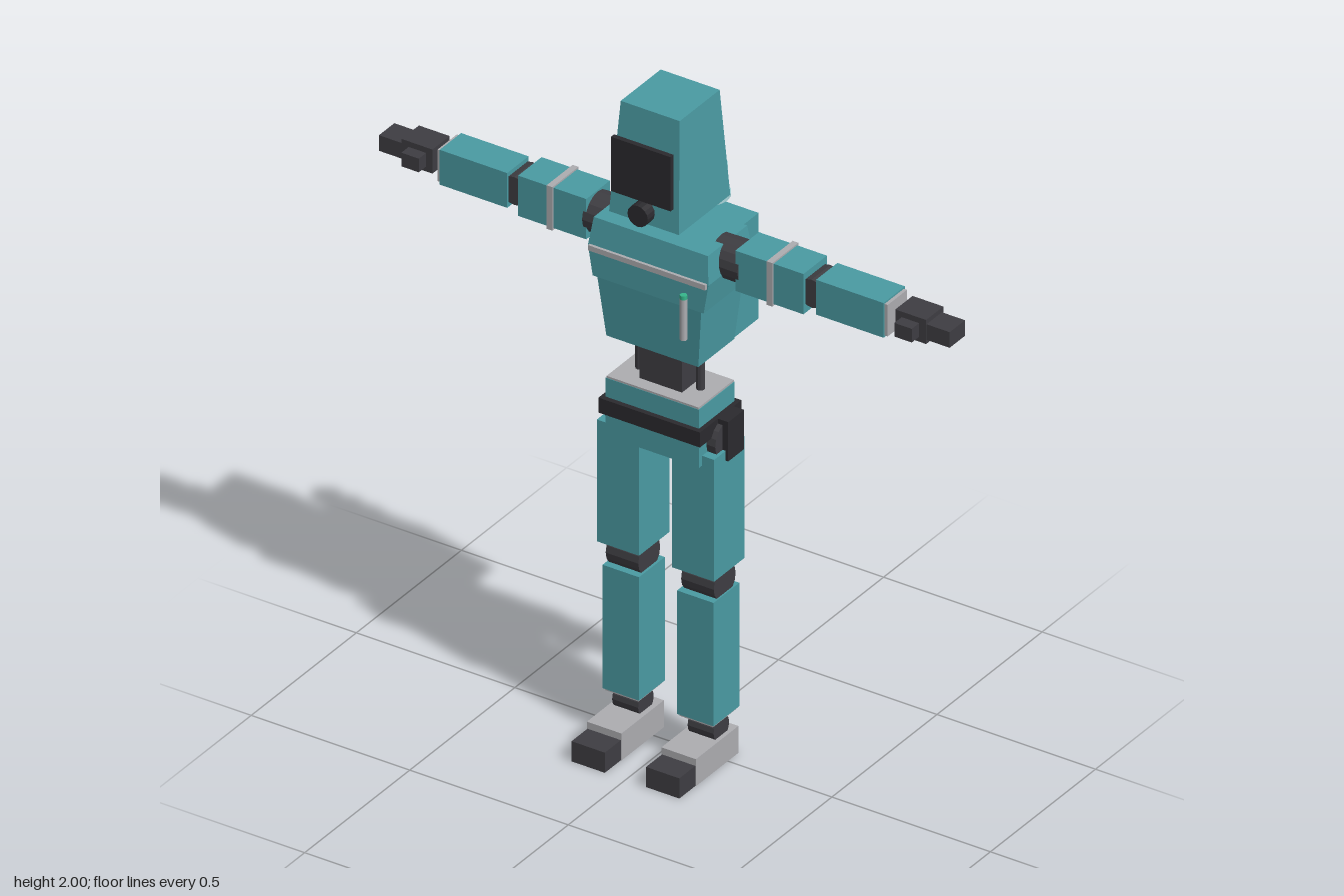
import * as THREE from 'three';

const mat = (color) => new THREE.MeshStandardMaterial({ color, flatShading: true });
const teal = mat(0x4a9aa2);
const dark = mat(0x3e3d42);
const black = mat(0x2b2a2e);
const grey = mat(0xacacb0);
const aqua = mat(0xa8d4d8);
const green = mat(0x35b58a);

export function createModel() {
  const root = new THREE.Group();
  root.name = 'robot';

  const add = (parent, name, geometry, material) => {
    const mesh = new THREE.Mesh(geometry, material);
    mesh.name = name;
    parent.add(mesh);
    return mesh;
  };

  // Box given by its limits on each axis
  const block = (parent, name, m, [x0, x1], [y0, y1], [z0, z1]) => {
    const g = new THREE.BoxGeometry(x1 - x0, y1 - y0, z1 - z0);
    g.translate((x0 + x1) / 2, (y0 + y1) / 2, (z0 + z1) / 2);
    return add(parent, name, g, m);
  };

  // Box tapered between two rectangles, each [y, half width, zBack, zFront]
  const taper = (parent, name, m, low, high) => {
    const g = new THREE.BoxGeometry(1, 1, 1);
    const p = g.attributes.position;
    for (let i = 0; i < p.count; i++) {
      const [y, w, zb, zf] = p.getY(i) > 0 ? high : low;
      p.setXYZ(i, p.getX(i) > 0 ? w : -w, y, p.getZ(i) > 0 ? zf : zb);
    }
    g.computeVertexNormals();
    return add(parent, name, g, m);
  };

  // Cylinder centred at a point, lying along the given axis
  const rod = (parent, name, m, axis, r, length, [x, y, z], sides = 16) => {
    const g = new THREE.CylinderGeometry(r, r, length, sides);
    if (axis === 'x') g.rotateZ(Math.PI / 2);
    if (axis === 'z') g.rotateX(Math.PI / 2);
    g.translate(x, y, z);
    return add(parent, name, g, m);
  };

  const part = (name) => {
    const g = new THREE.Group();
    g.name = name;
    root.add(g);
    return g;
  };

  // Head with face screen and round mouthpiece
  const head = part('head');
  taper(head, 'skull', teal, [1.67, 0.11, -0.105, 0.14], [2, 0.093, -0.08, 0.11]);
  block(head, 'visor', black, [-0.094, 0.094], [1.745, 1.912], [0.14, 0.155]);
  rod(head, 'mouthpiece', black, 'z', 0.032, 0.04, [0, 1.706, 0.15]);
  rod(head, 'neck', dark, 'y', 0.038, 0.08, [0, 1.635, 0.01]);

  // Chest, in three tapering tiers
  const torso = part('torso');
  taper(torso, 'upperChest', teal, [1.53, 0.19, -0.09, 0.12], [1.612, 0.18, -0.08, 0.107]);
  taper(torso, 'lowerChest', teal, [1.44, 0.175, -0.085, 0.12], [1.53, 0.19, -0.09, 0.12]);
  taper(torso, 'abdomen', teal, [1.255, 0.145, -0.072, 0.1], [1.44, 0.164, -0.083, 0.115]);
  block(torso, 'chestStripe', grey, [-0.185, 0.185], [1.518, 1.534], [0.115, 0.128]);
  block(torso, 'abdomenPlate', teal, [-0.12, 0.12], [1.235, 1.256], [-0.03, 0.06]);
  block(torso, 'spine', dark, [-0.067, 0.067], [1.12, 1.26], [-0.03, 0.06]);

  // Pen held in front of the chest
  rod(torso, 'pen', grey, 'y', 0.01, 0.125, [0.148, 1.4425, 0.175], 12);
  rod(torso, 'penTip', green, 'y', 0.01, 0.012, [0.148, 1.511, 0.175], 12);

  // Hips and belt
  const hips = part('hips');
  block(hips, 'hipBlock', teal, [-0.147, 0.147], [0.945, 1.124], [-0.07, 0.1]);
  block(hips, 'hipTop', grey, [-0.145, 0.145], [1.124, 1.13], [-0.069, 0.099]);
  block(hips, 'belt', black, [-0.16, 0.16], [1.02, 1.066], [-0.082, 0.115]);
  block(hips, 'holster', black, [0.155, 0.193], [0.945, 1.066], [-0.045, 0.03]);

  // Backpack and antenna with stacked discs
  const backpack = part('backpack');
  block(backpack, 'packBody', teal, [-0.123, 0.123], [1.235, 1.56], [-0.22, -0.095]);
  rod(backpack, 'antennaPole', black, 'y', 0.01, 0.28, [0, 1.69, -0.165], 12);
  [[1.61, 0.061], [1.694, 0.053], [1.777, 0.041]].forEach(([y, r]) =>
    rod(backpack, 'antennaDisc', aqua, 'y', r, 0.011, [0, y, -0.165], 16));

  // Limbs are written for the +x side and mirrored by the sign s
  for (const s of [1, -1]) {
    const side = s > 0 ? 'left' : 'right';
    const span = (a, b) => (s > 0 ? [a, b] : [-b, -a]);

    const arm = part(side + 'Arm');
    rod(arm, 'shoulder', dark, 'x', 0.06, 0.09, [s * 0.2, 1.56, 0.005]);
    block(arm, 'upperArm', teal, span(0.235, 0.45), [1.5, 1.624], [-0.052, 0.06]);
    block(arm, 'armBand', grey, span(0.338, 0.356), [1.495, 1.629], [-0.058, 0.066]);
    rod(arm, 'elbow', dark, 'z', 0.043, 0.09, [s * 0.469, 1.565, 0.005]);
    block(arm, 'forearm', teal, span(0.487, 0.7), [1.51, 1.617], [-0.046, 0.056]);
    block(arm, 'cuff', grey, span(0.7, 0.71), [1.515, 1.612], [-0.041, 0.051]);
    block(arm, 'palm', dark, span(0.73, 0.827), [1.528, 1.602], [-0.037, 0.045]);
    block(arm, 'fingers', dark, span(0.827, 0.9), [1.54, 1.588], [-0.03, 0.043]);
    block(arm, 'thumb', dark, span(0.75, 0.805), [1.543, 1.585], [0.045, 0.08]);

    rod(torso, side + 'WaistPiston', dark, 'y', 0.012, 0.13, [s * 0.096, 1.19, 0.015], 12);

    const leg = part(side + 'Leg');
    rod(leg, 'hipJoint', dark, 'x', 0.055, 0.05, [s * 0.15, 1.0, 0.01]);
    block(leg, 'thigh', teal, span(0.052, 0.185), [0.6, 0.975], [-0.06, 0.085]);
    rod(leg, 'knee', dark, 'x', 0.052, 0.103, [s * 0.119, 0.56, 0.013]);
    block(leg, 'shin', teal, span(0.06, 0.175), [0.145, 0.525], [-0.05, 0.073]);
    block(leg, 'shinHem', grey, span(0.065, 0.17), [0.138, 0.145], [-0.045, 0.068]);
    rod(leg, 'ankle', dark, 'x', 0.037, 0.082, [s * 0.119, 0.105, 0.013]);
    block(leg, 'foot', grey, span(0.063, 0.172), [0, 0.083], [-0.05, 0.152]);
    block(leg, 'toe', dark, span(0.065, 0.17), [0, 0.062], [0.152, 0.228]);
  }

  return root;
}
